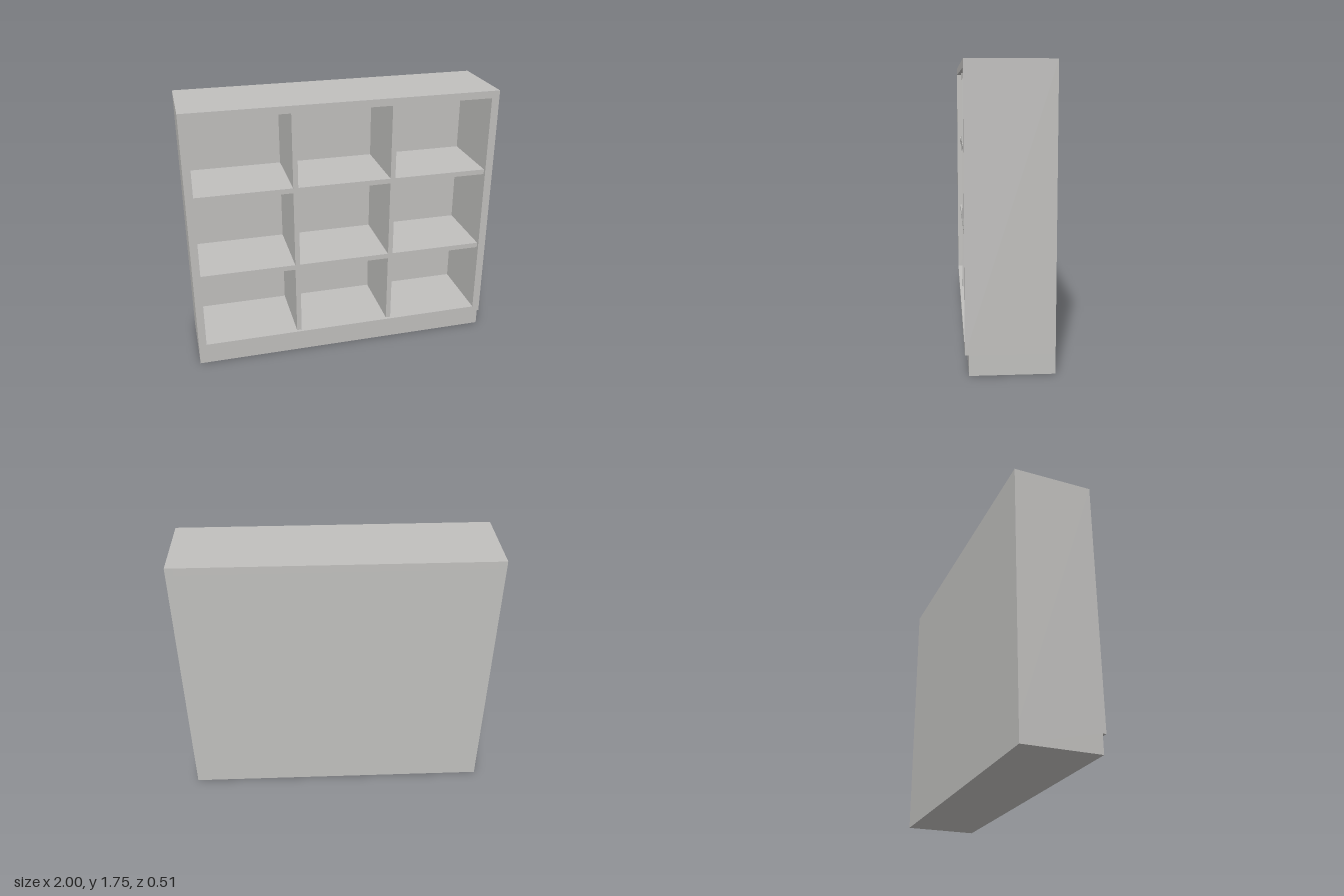
import * as THREE from 'three';

export function createModel() {
  const model = new THREE.Group();
  model.name = 'cubeBookcase';
  const paint = new THREE.MeshStandardMaterial({ color: 0xc0bfbd });
  paint.name = 'pale grey';

  // Box given by its extents on each axis
  function panel(name, [x0, x1], [y0, y1], [z0, z1]) {
    const mesh = new THREE.Mesh(new THREE.BoxGeometry(x1 - x0, y1 - y0, z1 - z0), paint);
    mesh.name = name;
    mesh.position.set((x0 + x1) / 2, (y0 + y1) / 2, (z0 + z1) / 2);
    model.add(mesh);
  }

  const W = 1, H = 1.75, D = 0.255;       // half width, height, half depth
  const inner = 0.95;                     // half width of the opening
  const base = 0.12, floor = 0.158, ceiling = 1.703;
  const back = -0.224, recess = 0.235;    // back panel face, shelf front

  // Plinth, set back at the front
  panel('plinth', [-W, W], [0, base], [-D, 0.232]);

  // Outer carcass
  panel('leftSide', [inner, W], [base, H], [-D, D]);
  panel('rightSide', [-W, -inner], [base, H], [-D, D]);
  panel('bottomPanel', [-inner, inner], [base, floor], [-D, D]);
  panel('topPanel', [-inner, inner], [ceiling, H], [-D, D]);
  panel('backPanel', [-inner, inner], [floor, ceiling], [-D, back]);

  // Shelves run the full inner width
  const shelves = [[0.632, 0.666], [1.18, 1.213]];
  shelves.forEach((y) => panel('shelf', [-inner, inner], y, [back, recess]));

  // Upright dividers fill the gaps between shelves
  const rows = [[floor, shelves[0][0]], [shelves[0][1], shelves[1][0]], [shelves[1][1], ceiling]];
  for (const x of [-0.318, 0.318]) {
    rows.forEach((y) => panel('divider', [x - 0.016, x + 0.016], y, [back, recess]));
  }
  return model;
}
